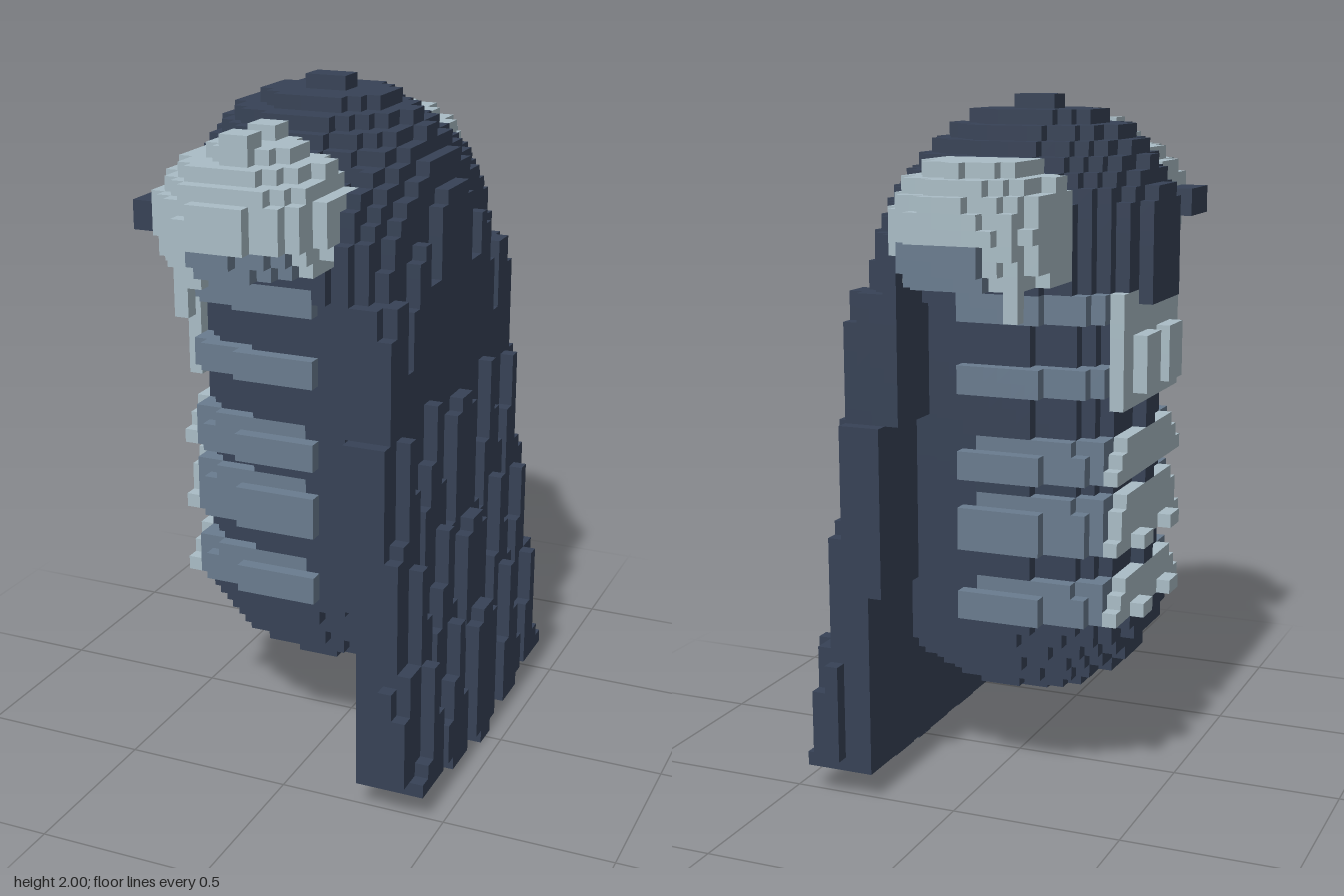
import * as THREE from 'three';

const V = 2 / 49, NX = 22, NY = 49, NZ = 34; // cell size and grid

const COLORS = { darkCloth: 0x374256, slateBone: 0x6a7c8f, paleBone: 0xaabdc6 };

// superellipse sum, below 1 is inside
const blob = (n, ...terms) => terms.reduce((s, [d, r]) => s + Math.abs(d / r) ** n, 0);
const within = (a, lo, hi) => a > lo && a < hi;

// Cape: slanted slab with hanging strands, symmetric in z
const STRAND_DROP = [0.04, 0.08, 0.42, 0.45, 0.25, 0, 0.15, 0.3, 0.45, 0.2, 0.05, 0.33, 0.35, 0.45];
const HEM = [0, 0.05, 0.09, 0.09, 0.05, 0.05, 0.05, 0.09, 0.09, 0.09, 0.09, 0.09, 0.09, 0.13];
const WIDTH = [[1.1, 0.49], [0.41, 0.53], [-1, 0.57]];
function cape(x, y, z) {
  const az = Math.abs(z), s = Math.floor(az / V);
  if (s > 13 || y < HEM[s] || az > WIDTH.find(([h]) => y > h)[1]) return null;
  // rounded shoulders
  if (y > 1.45 && blob(2.5, [x + 0.065, 0.4], [y - 1.45, 0.45], [z, 0.58]) > 1) return null;
  let outer = 0.29;
  for (const step of [1.72, 1.14, 0.78, 0.49]) if (y < step - STRAND_DROP[s]) outer += V;
  const inner = s === 13 || y < 0.05 ? 0.325 : y < 0.09 ? 0.285 : y < 0.62 ? 0.24 : y < 1.1 ? 0.2 : 0.16;
  return within(x, inner, outer) ? 'darkCloth' : null;
}

// Hood: dome with a straight skirt that stops above the breast plate
function hood(x, y, z) {
  if (y < 1.43) return null;
  return blob(2, [x + 0.065, 0.39], [Math.max(0, y - 1.62), 0.364], [z, 0.38]) < 1 ? 'darkCloth' : null;
}

// Torso core with a rounded bottom that swells below the last rib
function torso(x, y, z) {
  if (y > 1.47) return null;
  const low = Math.max(0, 0.55 - y), rx = y < 0.53 ? 0.385 : 0.36;
  return blob(2.5, [x + 0.03, rx], [z, 0.32]) ** 0.8 + (low / 0.3) ** 2 < 1 ? 'darkCloth' : null;
}

// Ribs wrap the open side of the torso; pale at their ends
const RIBS = [[0.53, 0.65], [0.735, 0.9], [0.94, 1.06], [1.18, 1.27], [1.39, 1.47]];
function ribs(x, y, z) {
  const rib = RIBS.find(([lo, hi]) => within(y, lo, hi));
  if (!rib) return null;
  const az = Math.abs(z), fromTop = rib[1] - y;
  const top = fromTop < V && rib[1] - rib[0] > 0.1;
  const rz = top ? 0.34 : 0.36, end = top ? -0.02 : 0.03;
  if (x < end && blob(3, [x + 0.03, 0.395], [z, rz]) < 1) return x < -0.35 ? 'paleBone' : 'slateBone';
  // knobs at the rib tips and corners
  const tip = y < 0.82 && y < rib[0] + V * 1.2 && x < -0.37 && within(az, 0.08, 0.165);
  const corner = y < 1.1 && y < rib[0] + V * 1.2 && within(x, -0.41, -0.36) && within(az, 0.2, 0.29);
  return tip || corner ? 'paleBone' : null;
}

// Pale plate below the hood
function breastPlate(x, y, z) {
  const az = Math.abs(z);
  if (!within(y, 1.16, 1.43) || x > -0.35 || az > 0.23) return null;
  const raised = within(y, 1.18, 1.35) && within(az, 0.04, 0.165);
  return x > (raised ? -0.45 : -0.41) ? 'paleBone' : null;
}

// Shoulder guards: hollow domes with a drip, a notched crest in front
function shoulderGuard(x, y, z) {
  const az = Math.abs(z), front = z > 0;
  if (az < 0.325) return null;
  const [cx, rx, cy, n] = front ? [-0.09, 0.265, 1.68, 2] : [-0.075, 0.23, 1.65, 2.3];
  if (within(x, -0.24, y < 1.51 ? -0.2 : -0.17) && within(az, 0.57, 0.62) && within(y, 1.43, 1.62)) return 'paleBone';
  if (front && within(x, -0.41, -0.33) && within(z, 0.37, 0.53) && within(y, 1.62, 1.72)) return 'darkCloth';
  if (front && within(x, -0.13, -0.04) && within(y, 1.75, 1.92) && (within(z, 0.49, 0.57) || within(z, 0.33, 0.41))) return 'paleBone';
  if (y < 1.51) return null;
  if (blob(n, [x - cx, rx], [y - cy, 0.2], [az - 0.415, 0.282]) > 1) return null;
  if (blob(2, [x - cx, rx - 0.08], [y - 1.5, 0.12], [az - 0.415, 0.2]) < 1) return null;
  return y < 1.635 && within(x, -0.16, 0.1) ? 'slateBone' : 'paleBone';
}

const PARTS = { shoulderGuard, breastPlate, ribs, hood, cape, torso };

// Six cell faces: normal and two in-plane axes with u x v = n
const FACES = [0, 1, 2].flatMap((a) => [1, -1].map((s) => {
  const axis = (i, k = 1) => [0, 1, 2].map((c) => (c === i % 3 ? k : 0));
  return { n: axis(a, s), u: axis(a + 1, s), v: axis(a + 2) };
}));

export function createModel() {
  const model = new THREE.Group();
  model.name = 'cloakedRibTorso';
  const materials = {};
  for (const [name, color] of Object.entries(COLORS)) {
    materials[name] = new THREE.MeshStandardMaterial({ color });
    materials[name].name = name;
  }

  // Fill the grid, the first part to claim a cell keeps it
  const cells = new Map();
  const key = (i, j, k) => (i + 1) + 32 * ((j + 1) + 64 * (k + 1));
  const centre = (i, j, k) => [(i + 0.5 - NX / 2) * V, (j + 0.5) * V, (k + 0.5 - NZ / 2) * V];
  for (let i = 0; i < NX; i++) for (let j = 0; j < NY; j++) for (let k = 0; k < NZ; k++) {
    const p = centre(i, j, k);
    for (const [part, rule] of Object.entries(PARTS)) {
      const color = rule(...p);
      if (color) { cells.set(key(i, j, k), { part, color, at: [i, j, k], p }); break; }
    }
  }

  // Collect the exposed faces of each part and colour
  const buckets = {};
  for (const { part, color, at, p } of cells.values()) {
    const out = ((buckets[part] ??= {})[color] ??= { pos: [], nor: [] });
    for (const { n, u, v } of FACES) {
      if (cells.has(key(at[0] + n[0], at[1] + n[1], at[2] + n[2]))) continue;
      for (const [a, b] of [[-1, -1], [1, -1], [1, 1], [-1, -1], [1, 1], [-1, 1]]) {
        for (let c = 0; c < 3; c++) out.pos.push(p[c] + (n[c] + a * u[c] + b * v[c]) * V / 2);
        out.nor.push(...n);
      }
    }
  }

  for (const [part, colors] of Object.entries(buckets)) {
    const group = new THREE.Group();
    group.name = part;
    for (const [color, { pos, nor }] of Object.entries(colors)) {
      const geometry = new THREE.BufferGeometry();
      geometry.setAttribute('position', new THREE.Float32BufferAttribute(pos, 3));
      geometry.setAttribute('normal', new THREE.Float32BufferAttribute(nor, 3));
      const mesh = new THREE.Mesh(geometry, materials[color]);
      mesh.name = `${part} ${color}`;
      group.add(mesh);
    }
    model.add(group);
  }
  return model;
}
